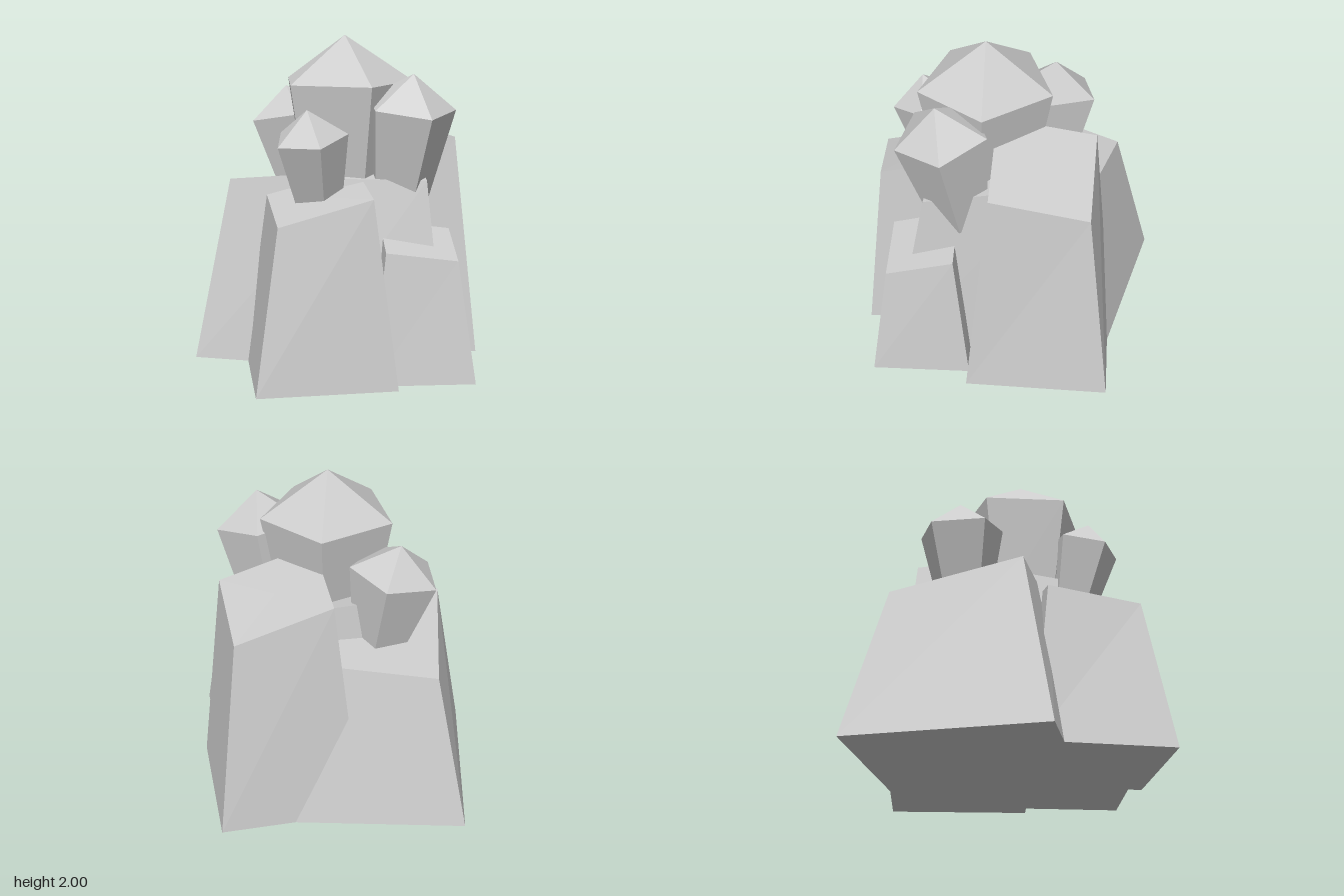
import * as THREE from 'three';

const material = new THREE.MeshStandardMaterial({ color: 0xcccccc, flatShading: true });

// Closed solid from two rings of equal count (ordered +x towards +z), fanned to two end points
function solid(name, lower, upper, foot, peak) {
  const pos = [];
  const tri = (...pts) => pts.forEach(p => pos.push(...p));
  lower.forEach((a, i) => {
    const j = (i + 1) % lower.length;
    tri(a, upper[i], lower[j]);
    tri(lower[j], upper[i], upper[j]);
    tri(peak, upper[j], upper[i]);
    tri(foot, a, lower[j]);
  });
  const geo = new THREE.BufferGeometry();
  geo.setAttribute('position', new THREE.Float32BufferAttribute(pos, 3));
  geo.computeVertexNormals();
  const mesh = new THREE.Mesh(geo, material);
  mesh.name = name;
  return mesh;
}

const middle = ring => [0, 1, 2].map(k => ring.reduce((s, p) => s + p[k], 0) / ring.length);

// Tapered rock with a sloping top; corners: back right, front right, front left, back left
function rock(name, base, top) {
  const lower = base.map(([x, z]) => [x, 0, z]);
  return solid(name, lower, top, middle(lower), middle(top));
}

// Five-sided crystal: pointed cap above a body that narrows downwards, leaning along an axis
function crystal({ name, at, r, footR, length, cap, phase, axis }) {
  const ring = (radius, y) => Array.from({ length: 5 }, (_, i) => {
    const a = THREE.MathUtils.degToRad(phase + i * 72);
    return [radius * Math.cos(a), y, radius * Math.sin(a)];
  });
  const mesh = solid(name, ring(footR, -length), ring(r, 0), [0, -length, 0], [0, cap, 0]);
  mesh.quaternion.setFromUnitVectors(new THREE.Vector3(0, 1, 0), new THREE.Vector3(...axis).normalize());
  mesh.position.set(...at);
  return mesh;
}

export function createModel() {
  const group = new THREE.Group();
  group.name = 'crystalRocks';

  // Rocks: base corners as [x, z], top corners as [x, y, z]
  group.add(
    rock('backRightRock',
      [[0.595, -0.635], [0.27, 0.535], [-0.9, 0.21], [-0.575, -0.96]],
      [[0.34, 1.04, -0.48], [0.11, 1.19, 0.3], [-0.67, 1.11, 0.07], [-0.44, 0.96, -0.71]]),
    rock('backLeftRock',
      [[0.9, -0.665], [0.87, 0.21], [-0.005, 0.18], [0.025, -0.69]],
      [[0.745, 1.25, -0.52], [0.735, 1.36, 0.07], [0.15, 1.54, 0.05], [0.16, 1.44, -0.55]]),
    rock('frontRightRock',
      [[0.24, 0.06], [0.3, 0.89], [-0.525, 0.96], [-0.585, 0.13]],
      [[0.105, 1.18, 0.2], [0.16, 1.11, 0.775], [-0.39, 0.96, 0.81], [-0.445, 1.04, 0.24]]),
    rock('frontLeftRock',
      [[0.765, 0.2], [0.765, 0.805], [0.15, 0.805], [0.15, 0.2]],
      [[0.67, 0.825, 0.29], [0.665, 0.72, 0.7], [0.24, 0.775, 0.7], [0.24, 0.88, 0.29]]),
    rock('centreRock',
      [[0.57, -0.45], [0.61, 0.7], [-0.35, 0.62], [-0.35, -0.45]],
      [[0.48, 1.27, -0.28], [0.505, 1.16, 0.475], [-0.25, 1.17, 0.4], [-0.25, 1.28, -0.28]]),
  );

  // Crystals
  const crystals = [
    { name: 'largeCrystal', at: [0.04, 1.72, 0.12], r: 0.42, footR: 0.29, length: 0.72, cap: 0.28, phase: 0, axis: [0, 1, 0] },
    { name: 'frontLeftCrystal', at: [0.41, 1.59, 0.36], r: 0.285, footR: 0.18, length: 0.64, cap: 0.2, phase: -3, axis: [0.1, 1, 0.15] },
    { name: 'frontRightCrystal', at: [-0.19, 1.43, 0.5], r: 0.225, footR: 0.14, length: 0.45, cap: 0.17, phase: 6, axis: [-0.12, 1, 0.2] },
    { name: 'backRightCrystal', at: [-0.28, 1.475, -0.28], r: 0.28, footR: 0.17, length: 0.48, cap: 0.18, phase: 8, axis: [-0.17, 1, -0.06] },
  ];
  crystals.forEach(c => group.add(crystal(c)));
  return group;
}
